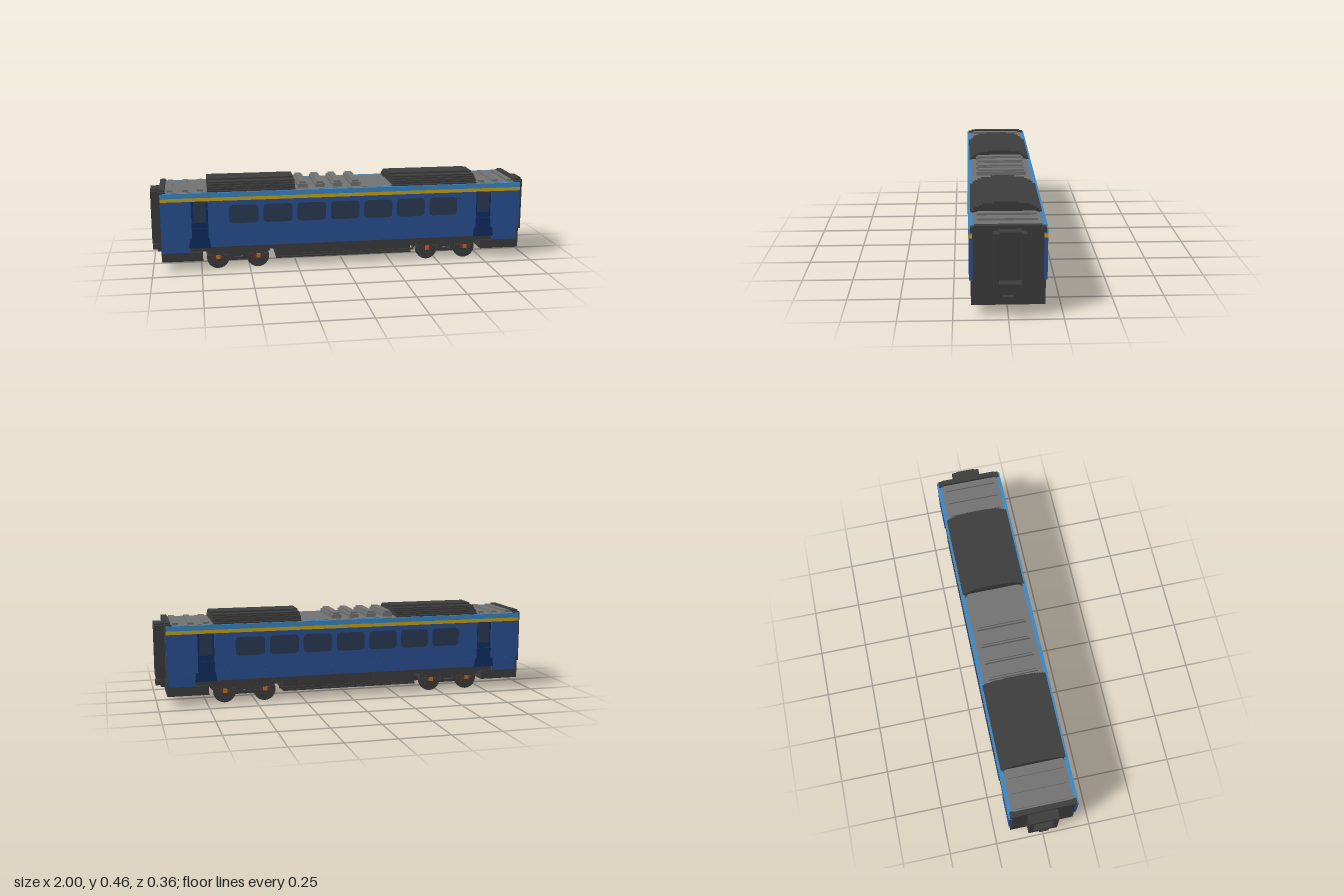
import * as THREE from 'three';

const mat = (name, color) => Object.assign(new THREE.MeshStandardMaterial({ color }), { name });

export function createModel() {
  const M = {
    dark: mat('dark grey', 0x3c3c3c), grey: mat('roof grey', 0x727272),
    blue: mat('body blue', 0x2a5094), navy: mat('door navy', 0x0f2e63),
    glass: mat('window glass', 0x2b3a55), sky: mat('light blue', 0x3b86c0),
    yellow: mat('yellow', 0xc9a516), orange: mat('orange', 0xb5722a), red: mat('red', 0x8c2a22),
  };
  const root = new THREE.Group();
  root.name = 'railCoach';

  const add = (name, geo, m, parent = root) => {
    const mesh = new THREE.Mesh(geo, m);
    mesh.name = name;
    parent.add(mesh);
    return mesh;
  };
  // box given by its limits on each axis
  const box = (name, m, x0, x1, y0, y1, z0, z1, parent) => {
    const g = new THREE.BoxGeometry(x1 - x0, y1 - y0, z1 - z0);
    g.translate((x0 + x1) / 2, (y0 + y1) / 2, (z0 + z1) / 2);
    return add(name, g, m, parent);
  };
  const poly = (pts) => new THREE.Shape(pts.map(([x, y]) => new THREE.Vector2(x, y)));
  const extrude = (shape, depth) =>
    new THREE.ExtrudeGeometry(shape, { depth, bevelEnabled: false, curveSegments: 5 });
  const roundRect = (cx, cy, w, h, r) => {
    const s = new THREE.Shape(), x = cx - w / 2, y = cy - h / 2;
    s.moveTo(x + r, y);
    s.lineTo(x + w - r, y); s.quadraticCurveTo(x + w, y, x + w, y + r);
    s.lineTo(x + w, y + h - r); s.quadraticCurveTo(x + w, y + h, x + w - r, y + h);
    s.lineTo(x + r, y + h); s.quadraticCurveTo(x, y + h, x, y + h - r);
    s.lineTo(x, y + r); s.quadraticCurveTo(x, y, x + r, y);
    return s;
  };

  // inner shell, visible at the ends, under the floor and at the roof edge
  box('coachCore', M.dark, -0.945, 0.945, 0.1, 0.408, -0.157, 0.157);

  // one painted side, built on +z and turned round for the back
  for (const turn of [0, 1]) {
    const side = new THREE.Group();
    side.name = turn ? 'backSide' : 'frontSide';
    side.rotation.y = turn * Math.PI;
    root.add(side);

    box('centrePanel', M.blue, -0.71, 0.71, 0.172, 0.37, 0.15, 0.176, side);
    box('centreLowerPanel', M.blue, -0.705, 0.705, 0.125, 0.17, 0.15, 0.168, side);
    box('yellowStripe', M.yellow, -0.95, 0.95, 0.37, 0.388, 0.15, 0.177, side);
    box('lightBlueBand', M.sky, -0.95, 0.95, 0.388, 0.413, 0.157, 0.177, side);

    for (let i = -3; i <= 3; i++) {
      const g = extrude(roundRect(i * 0.176, 0.298, 0.15, 0.096, 0.022), 0.004);
      g.translate(0, 0, 0.174);
      add('window', g, M.glass, side);
    }

    for (const s of [-1, 1]) {
      const span = (name, m, a, b, y0, y1, z0, z1) =>
        box(name, m, Math.min(s * a, s * b), Math.max(s * a, s * b), y0, y1, z0, z1, side);
      span('endPanel', M.blue, 0.795, 0.95, 0.172, 0.37, 0.15, 0.176);
      span('endLowerPanel', M.blue, 0.805, 0.95, 0.1, 0.17, 0.15, 0.168);
      span('door', M.navy, 0.71, 0.795, 0.12, 0.37, 0.156, 0.162);
      // flared foot of the door
      const foot = extrude(poly([[s * 0.7, 0.122], [s * 0.812, 0.122], [s * 0.797, 0.225], [s * 0.709, 0.225]]), 0.008);
      foot.translate(0, 0, 0.162);
      add('doorFoot', foot, M.navy, side);
      const pane = extrude(roundRect(s * 0.752, 0.31, 0.064, 0.11, 0.008), 0.003);
      pane.translate(0, 0, 0.161);
      add('doorWindow', pane, M.glass, side);
    }
  }

  // end walls, skirts, gangways and couplers
  for (const s of [-1, 1]) {
    const span = (name, m, a, b, y0, y1, z0, z1) =>
      box(name, m, Math.min(s * a, s * b), Math.max(s * a, s * b), y0, y1, z0, z1);
    span('endWall', M.dark, 0.94, 0.952, 0.1, 0.418, -0.159, 0.159);
    span('endWallFoot', M.dark, 0.94, 0.952, 0.1, 0.17, -0.168, 0.168);
    span('endSkirt', M.dark, 0.742, 0.952, 0.053, 0.1, -0.168, 0.168);
    span('endRoofBeam', M.dark, 0.925, 0.952, 0.408, 0.428, -0.15, 0.15);
    for (const z of [-1, 1]) {
      span('roofCornerLug', M.dark, 0.92, 0.952, 0.395, 0.42, z * 0.16 - 0.009, z * 0.16 + 0.009);
    }

    // gangway frame with a recessed doorway
    const frame = poly([[-0.075, 0.13], [0.075, 0.13], [0.075, 0.405], [0.05, 0.405],
      [0.05, 0.413], [-0.05, 0.413], [-0.05, 0.405], [-0.075, 0.405]]);
    frame.holes.push(new THREE.Path(
      [[-0.051, 0.17], [-0.051, 0.38], [0.051, 0.38], [0.051, 0.17]].map((p) => new THREE.Vector2(...p))));
    const g = extrude(frame, 0.05);
    g.rotateY(Math.PI / 2);
    g.translate(s > 0 ? 0.95 : -1, 0, -0.007);
    add('gangwayFrame', g, M.dark);
    span('couplerMount', M.dark, 0.95, 0.975, 0.078, 0.12, -0.042, 0.042);
    span('couplerHead', M.dark, 0.97, 1, 0.085, 0.11, -0.025, 0.025);
  }

  // grey roof plates with clipped corners: [x start, x end]
  for (const [a, b] of [[-0.94, -0.7], [-0.27, 0.26], [0.7, 0.94]]) {
    const c = 0.022, w = 0.157;
    const g = extrude(poly([[a + c, -w], [b - c, -w], [b, -w + c], [b, w - c],
      [b - c, w], [a + c, w], [a, w - c], [a, -w + c]]), 0.01);
    g.rotateX(-Math.PI / 2);
    g.translate(0, 0.404, 0);
    add('roofPlate', g, M.grey);
  }
  for (const s of [-1, 1]) {
    for (const x of [0.745, 0.822, 0.9]) {
      box('endRoofRib', M.grey, s * x - 0.015, s * x + 0.015, 0.41, 0.424, -0.138, 0.138);
    }
  }
  for (const x of [-0.215, -0.125, -0.033, 0.063]) {
    box('roofVentBase', M.grey, x - 0.025, x + 0.025, 0.41, 0.434, -0.13, 0.13);
    box('roofVentTop', M.grey, x - 0.017, x + 0.017, 0.43, 0.445, -0.12, 0.12);
  }

  // stepped roof pods
  const steps = [[0.166, 0.42], [0.152, 0.43], [0.143, 0.438], [0.126, 0.447], [0.11, 0.455], [0.059, 0.463]];
  const half = [];
  let base = 0.404;
  for (const [w, top] of steps) {
    half.push([w, base], [w, top]);
    base = top;
  }
  const podShape = poly([...half, ...half.slice().reverse().map(([x, y]) => [-x, y])]);
  for (const x of [-0.71, 0.258]) {
    const g = extrude(podShape, 0.452);
    g.rotateY(Math.PI / 2);
    g.translate(x, 0, 0);
    add('roofPod', g, M.dark);
  }

  // underfloor equipment box with framed panels
  box('equipmentBox', M.dark, -0.363, 0.358, 0.047, 0.115, -0.148, 0.148);
  for (const z of [-1, 1]) {
    for (let i = 0; i < 6; i++) {
      const x = -0.2 + i * 0.106;
      const frame = roundRect(x, 0.085, 0.094, 0.05, 0.004);
      frame.holes.push(roundRect(x, 0.085, 0.074, 0.034, 0.004));
      const g = extrude(frame, 0.008);
      g.translate(0, 0, z > 0 ? 0.147 : -0.155);
      add('equipmentPanelFrame', g, M.dark);
    }
    box('equipmentRail', M.dark, -0.363, 0.358, 0.047, 0.056, z * 0.15 - 0.006, z * 0.15 + 0.006);
  }

  // bogies
  const roll = (name, m, r, len, x, y, z, parent, n = 20) => {
    const g = new THREE.CylinderGeometry(r, r, len, n);
    g.rotateX(Math.PI / 2);
    g.translate(x, y, z);
    add(name, g, m, parent);
  };
  for (const cx of [-0.56, 0.555]) {
    const bogie = new THREE.Group();
    bogie.name = 'bogie';
    bogie.position.x = cx;
    root.add(bogie);
    box('bogieBolster', M.dark, -0.07, 0.07, 0.06, 0.105, -0.13, 0.13, bogie);
    for (const x of [-0.104, 0.104]) roll('axle', M.dark, 0.033, 0.24, x, 0.058, 0, bogie);
    for (const s of [-1, 1]) {
      const slab = (name, m, x0, x1, y0, y1, z0, z1) =>
        box(name, m, x0, x1, y0, y1, Math.min(s * z0, s * z1), Math.max(s * z0, s * z1), bogie);
      slab('bogieFrame', M.dark, -0.165, 0.165, 0.088, 0.118, 0.128, 0.152);
      slab('bogieLowerBeam', M.dark, -0.08, 0.08, 0.045, 0.06, 0.132, 0.15);
      for (const x of [-0.035, 0.035]) slab('bogieStrut', M.dark, x - 0.012, x + 0.012, 0.05, 0.1, 0.132, 0.152);
      for (const x of [-0.104, 0.104]) {
        roll('wheel', M.dark, 0.058, 0.024, x, 0.058, s * 0.122, bogie, 24);
        slab('axleBox', M.dark, x - 0.03, x + 0.03, 0.035, 0.09, 0.13, 0.153);
        slab('axleBoxArm', M.dark, x - 0.05, x + 0.05, 0.055, 0.075, 0.13, 0.147);
        slab('axleCover', M.orange, x - 0.011, x + 0.011, 0.055, 0.077, 0.15, 0.157);
        for (const d of [-0.02, 0.02]) slab('axleSpring', M.red, x + d - 0.005, x + d + 0.005, 0.058, 0.074, 0.15, 0.156);
      }
    }
  }
  return root;
}
